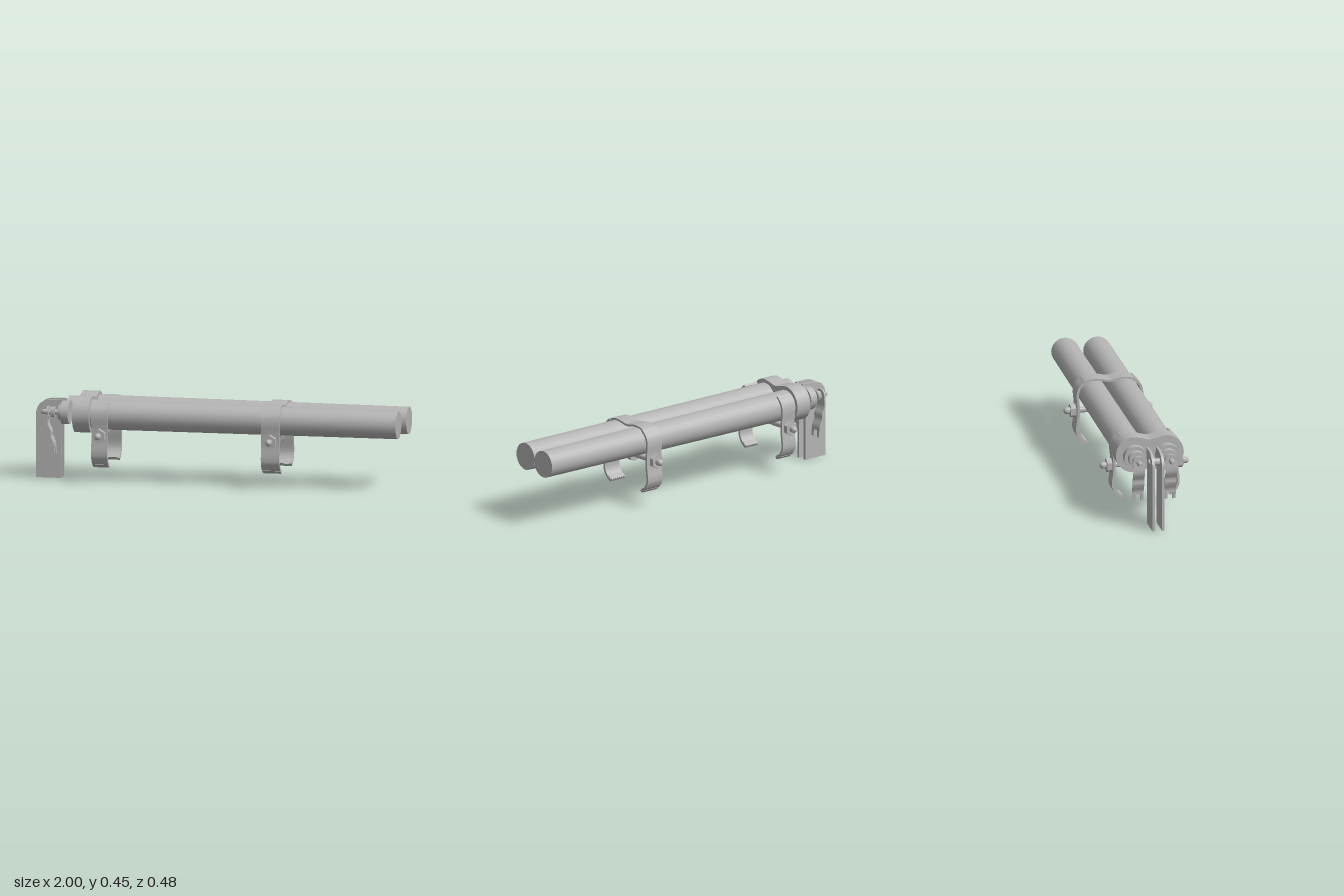
import * as THREE from 'three';
import { toCreasedNormals } from 'three/addons/utils/BufferGeometryUtils.js';

const steel = new THREE.MeshStandardMaterial({ color: 0xb4b4b4 });
steel.name = 'grey steel';

function add(parent, name, geometry) {
  const mesh = new THREE.Mesh(geometry, steel);
  mesh.name = name;
  parent.add(mesh);
  return mesh;
}

// Cylinder between two positions on the x axis
function rodX(parent, name, x0, x1, y, z, r0, r1 = r0, sides = 20) {
  const geo = new THREE.CylinderGeometry(r1, r0, x1 - x0, sides).rotateZ(-Math.PI / 2);
  add(parent, name, geo).position.set((x0 + x1) / 2, y, z);
}

// Cylinder between two positions on the z axis
function rodZ(parent, name, z0, z1, x, y, r0, r1 = r0, sides = 16) {
  const geo = new THREE.CylinderGeometry(r1, r0, z1 - z0, sides).rotateX(Math.PI / 2);
  add(parent, name, toCreasedNormals(geo, 0.6)).position.set(x, y, (z0 + z1) / 2);
}

function smooth(points, n, closed = false) {
  const curve = new THREE.CatmullRomCurve3(points.map(([a, b]) => new THREE.Vector3(a, b, 0)), closed);
  return curve.getPoints(n).map((p) => new THREE.Vector2(p.x, p.y));
}

function extrude(shape, depth) {
  const geo = new THREE.ExtrudeGeometry(shape, { depth, bevelEnabled: false, curveSegments: 12 });
  geo.translate(0, 0, -depth / 2);
  return toCreasedNormals(geo, 0.6);
}

// Bent sheet metal: a path thickened to a band, then extruded to its width
function band(points, thickness, width, n = 24) {
  const path = smooth(points, n);
  const left = [], right = [];
  path.forEach((p, i) => {
    const t = path[Math.min(i + 1, n)].clone().sub(path[Math.max(i - 1, 0)]).normalize();
    const off = new THREE.Vector2(-t.y, t.x).multiplyScalar(thickness / 2);
    left.push(p.clone().add(off));
    right.unshift(p.clone().sub(off));
  });
  return extrude(new THREE.Shape([...left, ...right]), width);
}

// Leg of a clamp, from the hooked foot up along the tube
const leg = [[0.125, 0.088], [0.155, 0.108], [0.174, 0.14], [0.177, 0.17], [0.17, 0.23],
  [0.17, 0.3], [0.174, 0.355]];

function clamp(x, width, overTop) {
  const group = new THREE.Group();
  group.name = overTop ? 'frontClamp' : 'rearClamp';
  group.position.x = x;
  const mirror = ([z, y]) => [-z, y];
  if (overTop) {
    const half = [...leg, [0.16, 0.4], [0.125, 0.428], [0.085, 0.436], [0.04, 0.432]];
    const path = [...half, [0, 0.424], ...half.map(mirror).reverse()];
    add(group, 'strap', band(path, 0.011, width * 0.9, 72).rotateY(Math.PI / 2));
  }
  for (const s of [1, -1]) {
    const path = [...leg, [0.164, 0.393], [0.132, 0.427]].map((p) => (s > 0 ? p : mirror(p)));
    add(group, 'strapLeg', band(path, 0.013, width, 36).rotateY(Math.PI / 2));
    // Thickened lip on the foot
    const lip = add(group, 'footLip', new THREE.BoxGeometry(width * 0.97, 0.018, 0.03));
    lip.position.set(0, 0.097, s * 0.139);
    lip.rotation.x = -s * 0.6;
    // Hex nut and domed bolt end
    rodZ(group, 'hexNut', s * 0.192 - 0.014, s * 0.192 + 0.014, 0, 0.259, 0.038, 0.038, 6);
    rodZ(group, 'boltEnd', s * 0.214 - 0.012, s * 0.214 + 0.012, 0, 0.259, 0.018);
    const dome = add(group, 'boltTip', new THREE.SphereGeometry(0.0175, 14, 8));
    dome.position.set(0, 0.259, s * 0.224);
  }
  rodZ(group, 'crossBolt', -0.21, 0.21, 0, 0.259, 0.015);
  if (overTop) rodZ(group, 'centreNut', -0.016, 0.016, 0, 0.255, 0.034, 0.034, 10);
  return group;
}

export function createModel() {
  const model = new THREE.Group();
  model.name = 'twinTubeAssembly';

  // Twin tubes, slightly tapered
  rodX(model, 'leftTube', -0.75, 0.98, 0.356, 0.082, 0.079, 0.074, 24);
  rodX(model, 'rightTube', -0.75, 1, 0.356, -0.088, 0.079, 0.073, 24);

  // Two-lobed collar around the rear ends
  const outline = [[0, 0.437]];
  for (const s of [1, -1]) {
    for (let i = 0; i <= 8; i++) {
      const a = s * THREE.MathUtils.degToRad(110 - i * 27.5);
      outline.push([s * (0.086 + 0.098 * Math.cos(a)), 0.357 + 0.098 * Math.sin(a)]);
    }
    if (s > 0) outline.push([0, 0.277]);
  }
  const collar = add(model, 'collar',
    extrude(new THREE.Shape(smooth(outline, 72, true)), 0.09).rotateY(Math.PI / 2));
  collar.position.x = -0.725;

  // Clamps
  model.add(clamp(-0.623, 0.087, false), clamp(0.305, 0.1, true));

  // Rear plugs with threaded pins and forked levers
  for (const z of [0.084, -0.09]) {
    const plug = new THREE.Group();
    plug.name = z > 0 ? 'leftPlug' : 'rightPlug';
    plug.position.z = z;
    rodX(plug, 'plugDisc', -0.843, -0.802, 0.362, 0, 0.063);
    rodX(plug, 'plugStep', -0.862, -0.843, 0.362, 0, 0.04, 0.044);
    rodX(plug, 'pin', -0.945, -0.86, 0.362, 0, 0.014);
    rodX(plug, 'pinTip', -0.96, -0.945, 0.362, 0, 0.008, 0.014);
    rodX(plug, 'pinNut', -0.905, -0.882, 0.362, 0, 0.03, 0.03, 6);
    // Lever blade narrows from a ring around the pin to two prongs
    rodX(plug, 'leverRing', -0.924, -0.915, 0.362, 0, 0.034);
    add(plug, 'leverBlade', band([[-0.92, 0.36], [-0.922, 0.3], [-0.905, 0.26], [-0.905, 0.235],
      [-0.889, 0.195], [-0.888, 0.175]], 0.008, 0.062));
    for (const s of [1, -1]) {
      const prong = add(plug, 'leverProng', band([[-0.888, 0.178], [-0.886, 0.16], [-0.885, 0.14]], 0.008, 0.018, 6));
      prong.position.z = s * 0.022;
    }
    model.add(plug);
  }

  // Pair of mounting plates with rounded upper rear corner
  const profile = new THREE.Shape();
  profile.moveTo(-1, 0);
  profile.lineTo(-0.86, 0);
  profile.lineTo(-0.86, 0.35);
  profile.lineTo(-0.845, 0.36);
  profile.lineTo(-0.845, 0.42);
  profile.lineTo(-0.915, 0.42);
  profile.quadraticCurveTo(-1, 0.415, -1, 0.33);
  profile.closePath();
  const hole = new THREE.Path();
  hole.absarc(-0.93, 0.365, 0.014, 0, Math.PI * 2, true);
  profile.holes.push(hole);
  for (const z of [0.025, -0.027]) {
    add(model, 'mountingPlate', extrude(profile, 0.014)).position.z = z;
  }
  // Pivot pin through both plates
  rodZ(model, 'pivotPin', -0.042, 0.04, -0.93, 0.365, 0.014);
  rodZ(model, 'pivotSpacer', -0.02, 0.018, -0.93, 0.365, 0.02);

  return model;
}
